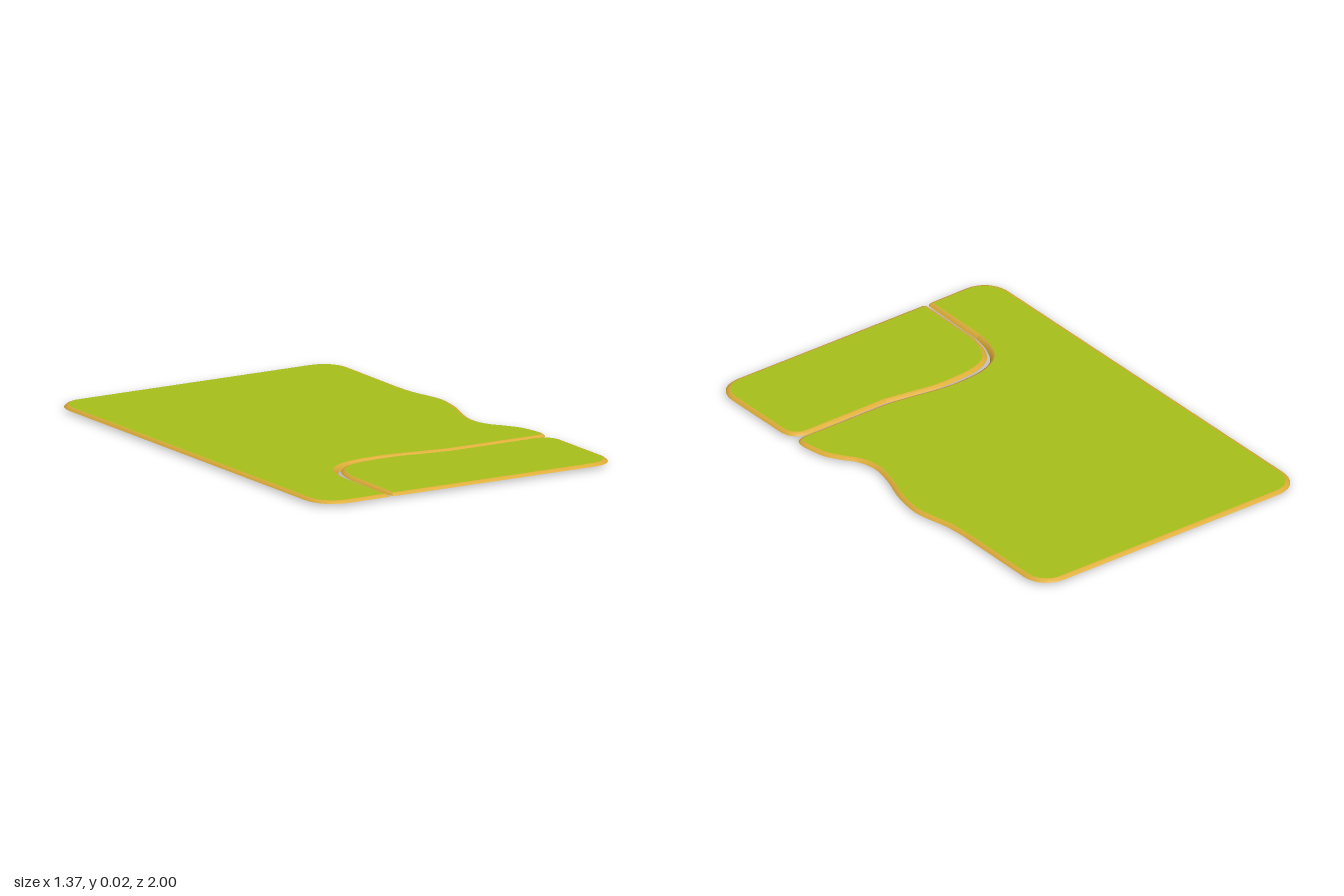
import * as THREE from 'three';

const TOP = 0.022;
// Rim cross-section from the top edge outwards: [inset, share of the drop]
const RIM = [[0.018, 0], [0.008, 0.25], [0, 1]];
const DROP = 0.0105;

const v = (list) => list.map(([x, z]) => new THREE.Vector2(x, z));

// Extra rim depth around the tight inner bend
const bendDip = (x, z) => 0.0115 * Math.exp(-(((x + 0.3) / 0.2) ** 2) - ((z - 0.53) / 0.2) ** 2);

// Outline points in (x, z), without the repeated closing point
function outline(shape) {
  const pts = shape.getPoints(10).filter((p, i, a) => i === 0 || p.distanceTo(a[i - 1]) > 1e-4);
  if (pts[0].distanceTo(pts[pts.length - 1]) < 1e-4) pts.pop();
  return pts;
}

function inset(pts, d) {
  const n = pts.length;
  return pts.map((p, i) => {
    const a = p.clone().sub(pts[(i + n - 1) % n]).normalize();
    const b = pts[(i + 1) % n].clone().sub(p).normalize();
    const t = a.add(b).normalize();
    return new THREE.Vector2(p.x - t.y * d, p.y + t.x * d);
  });
}

function meshOf(name, positions, index, material) {
  const g = new THREE.BufferGeometry();
  g.setAttribute('position', new THREE.Float32BufferAttribute(positions, 3));
  g.setIndex(index);
  g.computeVertexNormals();
  const m = new THREE.Mesh(g, material);
  m.name = name;
  return m;
}

// Thin sheet with a rounded, turned-down rim
function slab(name, shape, dip, topMaterial, rimMaterial) {
  const group = new THREE.Group();
  group.name = name;
  const pts = outline(shape);
  const n = pts.length;

  const face = inset(pts, RIM[0][0]);
  const tris = THREE.ShapeUtils.triangulateShape(face, []);
  group.add(meshOf(name + 'Surface', face.flatMap((p) => [p.x, TOP, p.y]),
    tris.flatMap(([a, b, c]) => [a, c, b]), topMaterial));

  const pos = [], idx = [];
  RIM.forEach(([d, share], k) => {
    for (const p of inset(pts, d)) pos.push(p.x, TOP - share * (DROP + dip(p.x, p.y)), p.y);
    if (k === 0) return;
    for (let i = 0; i < n; i++) {
      const j = (i + 1) % n, a = (k - 1) * n, c = k * n;
      idx.push(a + i, a + j, c + i, a + j, c + j, c + i);
    }
  });
  group.add(meshOf(name + 'Rim', pos, idx, rimMaterial));
  return group;
}

export function createModel() {
  const grass = new THREE.MeshStandardMaterial({ color: 0xa8c21b, side: THREE.DoubleSide });
  grass.name = 'grass green';
  const edge = new THREE.MeshStandardMaterial({ color: 0xdcac38, side: THREE.DoubleSide });
  edge.name = 'straw yellow';

  // Large field with a wavy right side and a bay cut from its front corner
  const large = new THREE.Shape();
  large.moveTo(-0.56, -1);
  large.lineTo(0.5, -1);
  large.bezierCurveTo(0.57, -1, 0.612, -0.95, 0.612, -0.88);
  large.lineTo(0.608, -0.5);
  large.splineThru(v([[0.615, -0.4], [0.637, -0.3], [0.645, -0.22], [0.625, -0.1], [0.585, 0.02], [0.566, 0.12],
    [0.583, 0.2], [0.625, 0.26], [0.664, 0.33], [0.682, 0.42]]));
  large.bezierCurveTo(0.684, 0.468, 0.675, 0.491, 0.63, 0.492);
  large.lineTo(0.22, 0.491);
  large.splineThru(v([[0.1, 0.474], [0, 0.457], [-0.1, 0.452], [-0.22, 0.467], [-0.307, 0.515],
    [-0.35, 0.593], [-0.366, 0.68]]));
  large.lineTo(-0.368, 0.975);
  large.quadraticCurveTo(-0.368, 0.998, -0.391, 0.998);
  large.lineTo(-0.56, 1);
  large.bezierCurveTo(-0.635, 1, -0.684, 0.945, -0.684, 0.87);
  large.lineTo(-0.684, -0.87);
  large.bezierCurveTo(-0.684, -0.945, -0.635, -1, -0.56, -1);

  // Small field fitting into the bay
  const small = new THREE.Shape();
  small.moveTo(0.22, 0.498);
  small.lineTo(0.6, 0.496);
  small.bezierCurveTo(0.655, 0.496, 0.684, 0.53, 0.684, 0.58);
  small.lineTo(0.684, 0.88);
  small.bezierCurveTo(0.684, 0.95, 0.64, 1, 0.57, 1);
  small.lineTo(-0.338, 0.998);
  small.quadraticCurveTo(-0.361, 0.998, -0.361, 0.975);
  small.lineTo(-0.357, 0.68);
  small.splineThru(v([[-0.337, 0.59], [-0.29, 0.515], [-0.21, 0.475], [-0.1, 0.462], [0, 0.463],
    [0.1, 0.479], [0.22, 0.498]]));

  const model = new THREE.Group();
  model.name = 'groundPatches';
  model.add(slab('largeField', large, bendDip, grass, edge));
  model.add(slab('smallField', small, () => 0, grass, edge));
  return model;
}
